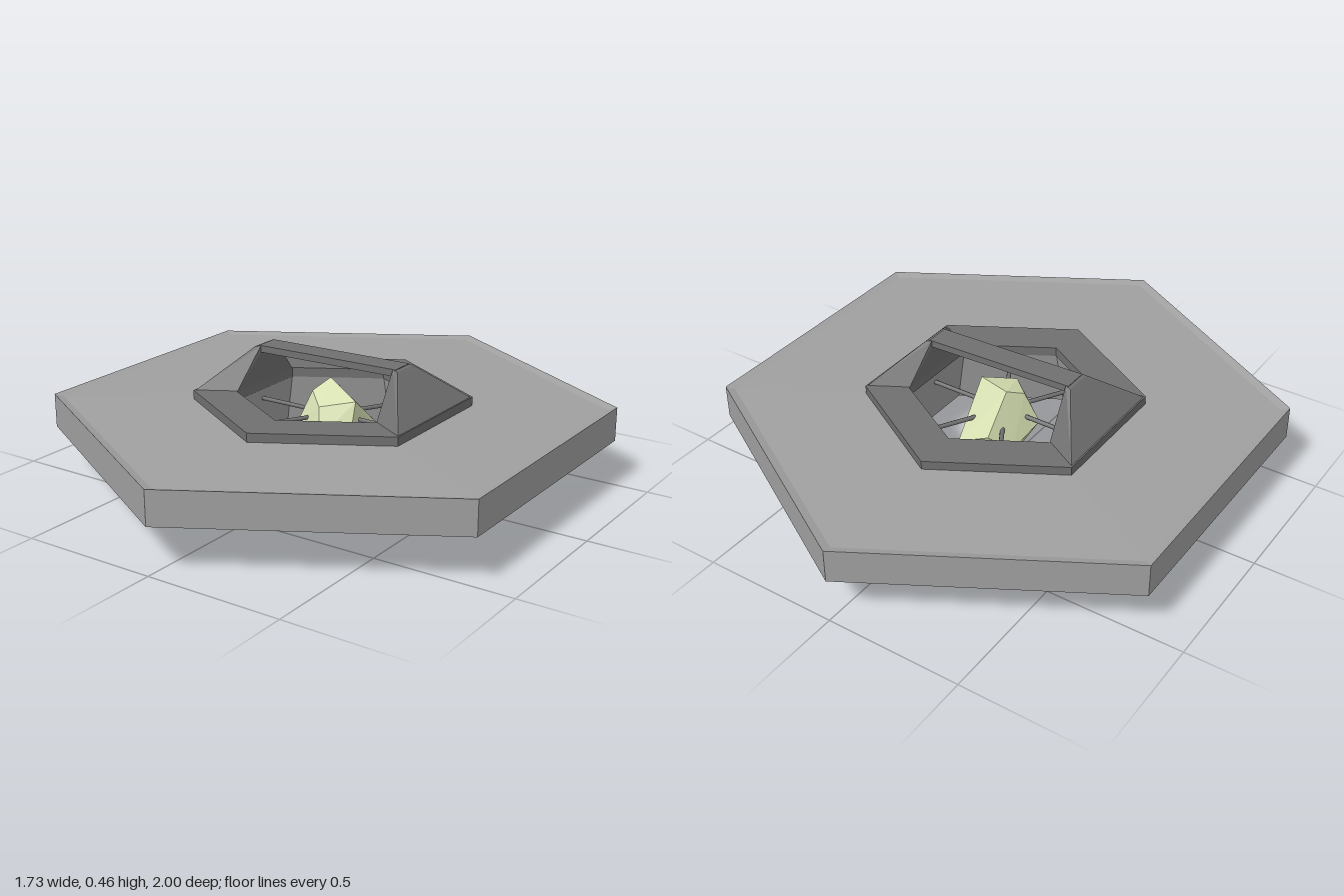
import * as THREE from 'three';
import { ConvexGeometry } from 'three/addons/geometries/ConvexGeometry.js';

const material = (name, color) => {
  const m = new THREE.MeshStandardMaterial({ color });
  m.name = name;
  return m;
};

export function createModel() {
  const group = new THREE.Group();
  const grey = material('midGrey', 0xa0a0a0);
  const dark = material('darkGrey', 0x707070);
  const pale = material('paleGrey', 0xe0e0de);
  const green = material('paleGreen', 0xd8e2b4);

  const add = (name, geometry, mat) => {
    const mesh = new THREE.Mesh(geometry, mat);
    mesh.name = name;
    group.add(mesh);
    return mesh;
  };

  // Six-sided turned part with flat faces, from [radius, height] pairs
  const hex = (name, profile, mat) => {
    const g = new THREE.LatheGeometry(profile.map(([r, y]) => new THREE.Vector2(r, y)), 6).toNonIndexed();
    g.computeVertexNormals();
    return add(name, g, mat);
  };
  const hull = (name, points, mat) =>
    add(name, new ConvexGeometry(points.map((p) => new THREE.Vector3(...p))), mat);

  // Body: slab with a raised rim, and the stepped underside
  hex('slab', [[0.62, 0.13], [0.67, 0.13], [0.81, 0.166], [0.97, 0.172], [1, 0.165],
    [1, 0.288], [0.967, 0.28], [0.34, 0.284]], grey);
  hex('lowerRing', [[0.62, 0.13], [0.655, 0.055], [0.67, 0.055], [0.67, 0.13]], pale);
  hex('lowerCone', [[0.4, 0.05], [0.62, 0.13]], grey);
  hex('openingWall', [[0.34, 0.292], [0.4, 0.05]], grey);
  hex('topRing', [[0.34, 0.28], [0.495, 0.28], [0.495, 0.315], [0.34, 0.315], [0.34, 0.28]], dark);

  // Handle: two tapered supports and a slightly skewed bar
  const barPoints = [];
  for (const s of [1, -1]) {
    const zc = s > 0 ? -0.015 : 0.01;
    const points = [];
    for (const t of [1, -1]) {
      points.push(
        [s * 0.428, 0.31, t * 0.247], [s * 0.294, 0.31, t * 0.17],
        [s * 0.305, 0.442, zc + t * 0.06], [s * 0.292, 0.455, zc + t * 0.052],
        [s * 0.27, 0.46, zc + t * 0.045], [s * 0.27, 0.435, zc + t * 0.045],
      );
      barPoints.push([s * 0.28, 0.46, zc + t * 0.045], [s * 0.28, 0.435, zc + t * 0.045]);
    }
    hull(s > 0 ? 'leftSupport' : 'rightSupport', points, dark);
  }
  hull('handleBar', barPoints, dark);

  // Crystal
  hull('crystal', [
    [-0.04, 0.355, -0.05], [0.12, 0.315, 0.03], [-0.07, 0.32, 0.02], [0.02, 0.3, 0.11],
    [-0.05, 0.24, -0.18], [0.08, 0.17, -0.175], [0.1, 0.2, -0.1], [0.13, 0.2, 0.08],
    [0.05, 0.2, 0.15], [-0.02, 0.17, 0.13], [-0.115, 0.2, 0.05], [-0.1, 0.16, -0.1],
    [0.01, 0, 0.11], [0, 0.035, -0.1],
  ], green);

  // Rods holding the crystal, one to each wall of the opening
  for (let i = 0; i < 6; i++) {
    const a = (i * Math.PI) / 3;
    const rod = add('crystalRod', new THREE.CylinderGeometry(0.008, 0.008, 0.26, 8), dark);
    rod.rotation.set(0, -a, Math.PI / 2, 'YXZ');
    rod.position.set(Math.cos(a) * 0.19, 0.24, Math.sin(a) * 0.19);
  }
  return group;
}
